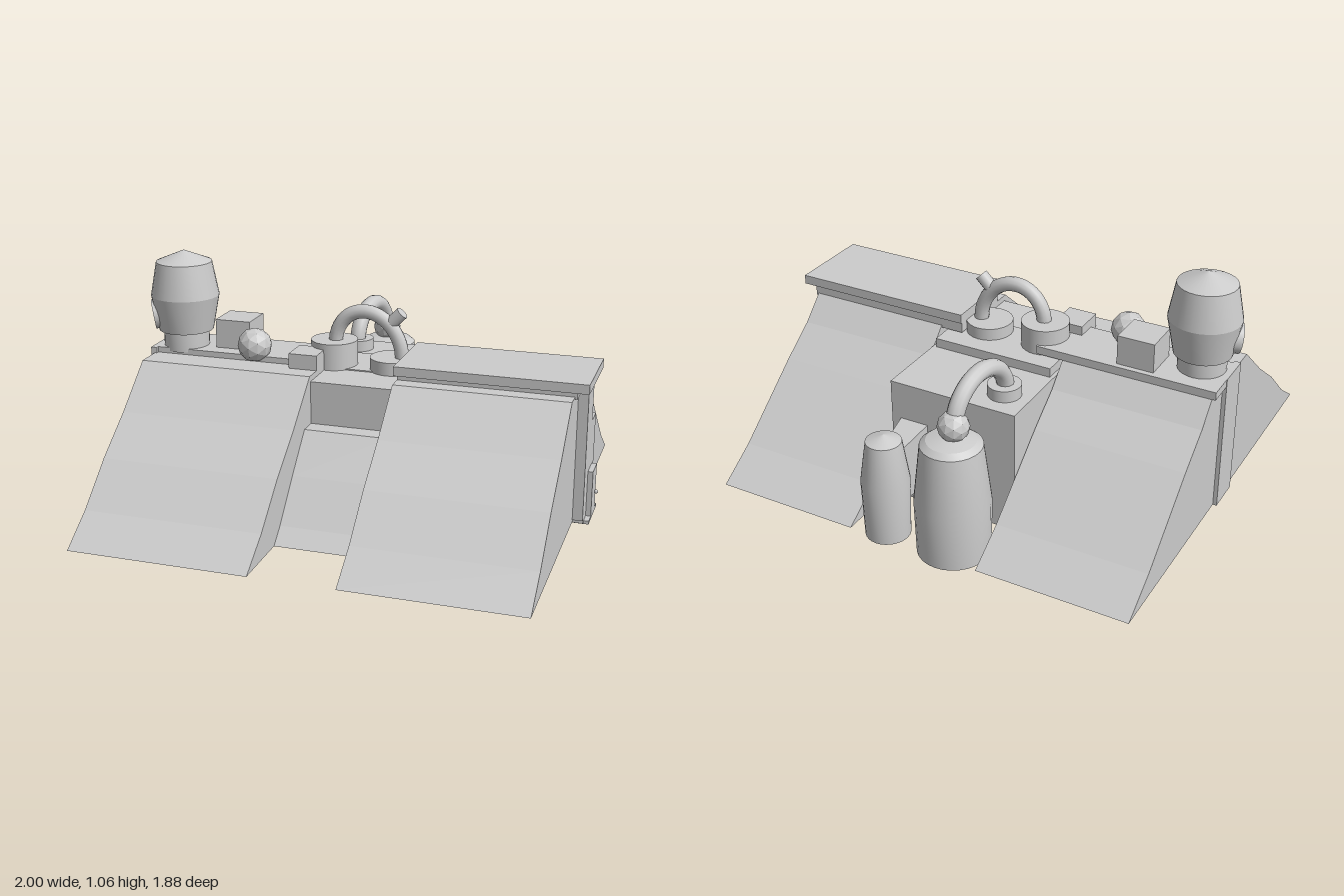
import * as THREE from 'three';
import { toCreasedNormals } from 'three/addons/utils/BufferGeometryUtils.js';

export function createModel() {
  const model = new THREE.Group();
  const grey = new THREE.MeshStandardMaterial({ color: 0xcccccc });
  const faceted = new THREE.MeshStandardMaterial({ color: 0xcccccc, flatShading: true });

  function add(name, geometry, x = 0, y = 0, z = 0, material = grey) {
    const mesh = new THREE.Mesh(geometry, material);
    mesh.name = name;
    mesh.position.set(x, y, z);
    model.add(mesh);
    return mesh;
  }

  // Box given by its limits on each axis
  function box(name, [x0, x1], [y0, y1], [z0, z1]) {
    return add(name, new THREE.BoxGeometry(x1 - x0, y1 - y0, z1 - z0),
      (x0 + x1) / 2, (y0 + y1) / 2, (z0 + z1) / 2);
  }

  // Side profile of [z, y] points swept from x0 to x1
  function ridge(name, x0, x1, profile) {
    const shape = new THREE.Shape(profile.map(([z, y]) => new THREE.Vector2(-z, y)));
    const geometry = new THREE.ExtrudeGeometry(shape, { depth: x1 - x0, bevelEnabled: false });
    geometry.rotateY(Math.PI / 2);
    return add(name, geometry, x0);
  }

  // Turned body of [radius, y] points
  function turned(name, x, z, profile) {
    const geometry = new THREE.LatheGeometry(profile.map(([r, y]) => new THREE.Vector2(r, y)), 28);
    return add(name, toCreasedNormals(geometry, 0.35), x, 0, z);
  }

  function drum(name, x, z, radius, y0, y1) {
    return add(name, new THREE.CylinderGeometry(radius, radius, y1 - y0, 28), x, (y0 + y1) / 2, z);
  }

  // Half-round pipe between two upright ends
  function archPipe(name, start, end, rise, radius) {
    const a = new THREE.Vector3(...start), b = new THREE.Vector3(...end);
    const points = [];
    for (let i = 0; i <= 12; i++) {
      const t = (i / 12) * Math.PI;
      const p = a.clone().lerp(b, (1 - Math.cos(t)) / 2);
      p.y += Math.sin(t) * rise;
      points.push(p);
    }
    return add(name, new THREE.TubeGeometry(new THREE.CatmullRomCurve3(points), 24, radius, 12));
  }

  // Earth banks, front and back halves on both sides
  const frontSlope = [[0, 0.03], [0.94, 0.03], [0.78, 0.14], [0.6, 0.3], [0.41, 0.44], [0.21, 0.61], [0, 0.61]];
  const backSlope = [[0, 0.03], [0, 0.61], [-0.17, 0.61], [-0.27, 0.51], [-0.42, 0.4], [-0.58, 0.27], [-0.74, 0.14], [-0.91, 0.03]];
  ridge('rightFrontBank', -0.95, -0.18, frontSlope);
  ridge('leftFrontBank', 0.18, 0.92, frontSlope);
  ridge('rightBackBank', -0.95, -0.3, backSlope);
  ridge('leftBackBank', 0.28, 0.92, backSlope);

  // Lower ramp and deck between the banks
  ridge('centreRamp', -0.18, 0.18, [[0, 0.03], [0.65, 0.03], [0.58, 0.09], [0.43, 0.25], [0.28, 0.4], [0, 0.4]]);
  box('centreDeck', [-0.18, 0.18], [0.3, 0.585], [-0.18, 0.2]);
  box('deckBack', [-0.28, 0.26], [0.3, 0.59], [-0.25, 0]);
  box('backBlock', [-0.295, 0.275], [0.003, 0.55], [-0.58, 0.02]);

  // Roof slab on the left bank
  box('roofSupport', [0.18, 0.93], [0.6, 0.645], [-0.17, 0.14]);
  box('roofSlab', [0.18, 0.985], [0.645, 0.685], [-0.175, 0.2]);

  // Left end wall with a door and its step
  ridge('leftEndWall', 0.9, 0.963, [[0.05, 0.04], [0.05, 0.645], [-0.09, 0.645],
    [-0.09, 0.44], [-0.185, 0.44], [-0.185, 0.02], [0.03, 0.02], [0.03, 0.04]].reverse());
  box('doorStep', [0.69, 0.985], [0.015, 0.03], [-0.185, 0.02]);
  box('door', [0.95, 0.985], [0.03, 0.23], [-0.14, -0.035]);
  add('doorKnob', new THREE.SphereGeometry(0.009, 8, 6), 0.99, 0.11, -0.12);

  // Ledge and end wall on the right bank
  box('rightLedge', [-0.965, -0.18], [0.6, 0.635], [-0.18, 0.075]);
  box('rightEndWall', [-0.967, -0.94], [0.03, 0.635], [-0.065, 0.09]);
  box('tallCrate', [-0.69, -0.53], [0.63, 0.762], [-0.155, 0.005]);
  box('lowCrate', [-0.305, -0.18], [0.61, 0.675], [-0.01, 0.125]);
  add('ball', new THREE.IcosahedronGeometry(0.075, 1), -0.485, 0.68, 0.06, faceted);

  // Tank on the ledge, with a round hatch
  turned('roofTank', -0.84, -0.015, [[0, 0.62], [0.1, 0.62], [0.1, 0.705], [0.12, 0.705],
    [0.15, 0.86], [0.122, 1.01], [0, 1.06]]);
  const hatch = add('tankHatch', new THREE.CylinderGeometry(0.065, 0.065, 0.035, 20), -0.955, 0.775, 0.035);
  hatch.quaternion.setFromUnitVectors(new THREE.Vector3(0, 1, 0), new THREE.Vector3(-0.86, -0.15, 0.45).normalize());

  // Two drums on the deck joined by an arched pipe
  drum('tallDrum', -0.165, -0.07, 0.102, 0.58, 0.7);
  drum('shortDrum', 0.1, -0.07, 0.1, 0.58, 0.642);
  archPipe('deckPipe', [-0.16, 0.68, -0.07], [0.14, 0.64, -0.07], 0.172, 0.031);
  const stub = add('pipeStub', new THREE.CylinderGeometry(0.028, 0.028, 0.07, 12), 0.115, 0.815, -0.07);
  stub.rotation.z = -Math.PI / 4;

  // Tanks behind, with the pipe into the block
  turned('largeBackTank', -0.135, -0.79, [[0, 0.003], [0.15, 0.003], [0.155, 0.24], [0.125, 0.495], [0.1, 0.515], [0, 0.54]]);
  turned('smallBackTank', 0.155, -0.825, [[0, 0.003], [0.093, 0.003], [0.1, 0.26], [0.073, 0.44], [0, 0.468]]);
  add('pipeJoint', new THREE.IcosahedronGeometry(0.065, 1), -0.14, 0.57, -0.78, faceted);
  drum('pipeCollar', -0.18, -0.45, 0.07, 0.54, 0.6);
  archPipe('backPipe', [-0.18, 0.57, -0.44], [-0.14, 0.56, -0.775], 0.16, 0.036);

  // Tapered brace from the block to the small tank
  const brace = new THREE.BoxGeometry(0.13, 0.28, 0.22);
  const pos = brace.attributes.position;
  for (let i = 0; i < pos.count; i++) {
    if (pos.getZ(i) > 0) continue;
    pos.setX(i, pos.getX(i) * 0.6);
    if (pos.getY(i) > 0) pos.setY(i, 0.1);
  }
  brace.computeVertexNormals();
  add('tankBrace', brace, 0.17, 0.25, -0.67);

  return model;
}
